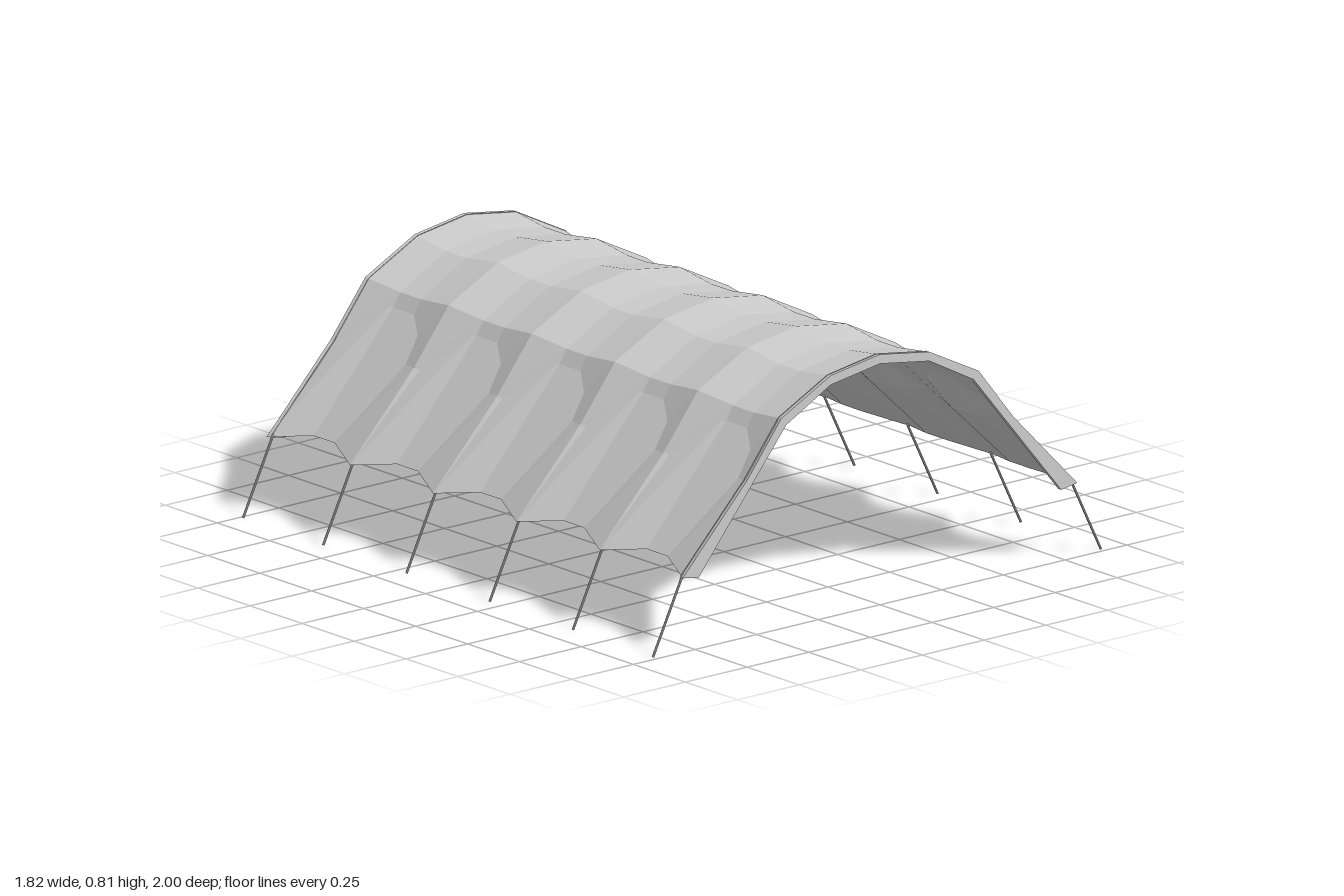
import * as THREE from 'three';

const mat = new THREE.MeshStandardMaterial({ color: 0xcccccc, flatShading: true, side: THREE.DoubleSide });

// Half profiles [x, y] from the apex down to the hem
const RIDGE = [[0, 0.81], [0.2, 0.78], [0.4, 0.68], [0.54, 0.505], [0.8, 0.24]];
const VALLEY = [[0, 0.79], [0.2, 0.76], [0.385, 0.662], [0.5, 0.485], [0.735, 0.265]];
const LINER = [[0, 0.78], [0.2, 0.75], [0.38, 0.655]];
const RIM = [...LINER, [0.505, 0.505], [0.735, 0.23]];

// Mirror a half profile into a full arch running from +x to -x
const arch = (half) => [...half.slice(1).reverse(), ...half.map(([x, y]) => [-x, y])];

// Skin a list of equal-length point rows
function loft(name, rows) {
  const n = rows[0].length;
  const index = [];
  for (let r = 0; r < rows.length - 1; r++) {
    for (let i = 0; i < n - 1; i++) {
      const a = r * n + i, b = a + n;
      index.push(a, b, a + 1, b, b + 1, a + 1);
    }
  }
  const g = new THREE.BufferGeometry();
  g.setAttribute('position', new THREE.Float32BufferAttribute(rows.flat(2), 3));
  g.setIndex(index);
  g.computeVertexNormals();
  const mesh = new THREE.Mesh(g, mat);
  mesh.name = name;
  return mesh;
}

const row = (half, z) => arch(half).map(([x, y]) => [x, y, z]);

// Thin round pole between two points
function pole(name, from, to, radius) {
  const a = new THREE.Vector3(...from), b = new THREE.Vector3(...to);
  const mesh = new THREE.Mesh(new THREE.CylinderGeometry(radius, radius, a.distanceTo(b), 8), mat);
  mesh.position.copy(a).add(b).multiplyScalar(0.5);
  mesh.quaternion.setFromUnitVectors(new THREE.Vector3(0, 1, 0), b.sub(a).normalize());
  mesh.name = name;
  return mesh;
}

export function createModel() {
  const model = new THREE.Group();
  model.name = 'tunnelCanopy';

  // Stations along the length: ridges over the poles, sagging valleys between
  const stations = [];
  for (let bay = 0; bay < 5; bay++) {
    const z = -1 + bay * 0.4;
    stations.push([RIDGE, z], [VALLEY, z + 0.15], [VALLEY, z + 0.25]);
  }
  stations.push([RIDGE, 1]);

  // Rippled outer cloth, and a smooth inner lining joined to its hem
  model.add(loft('canopyCloth', stations.map(([p, z]) => row(p, z))));
  model.add(loft('innerLining', stations.map(([p, z]) => row([...LINER, p[4]], z))));

  // Thin rim closing the cloth at each end
  for (const s of [1, -1]) {
    const rows = [row(RIDGE, s), row(RIM, s), row(RIM, s * 0.985), row(RIDGE, s * 0.985)];
    model.add(loft(s > 0 ? 'frontRim' : 'backRim', s > 0 ? rows : rows.reverse()));
  }

  // Splayed legs under every ridge
  for (const z of [-0.985, -0.6, -0.2, 0.2, 0.6, 0.985]) {
    for (const s of [1, -1]) {
      model.add(pole(s > 0 ? 'leftLeg' : 'rightLeg', [s * 0.785, 0.25, z], [s * 0.908, 0.002, z], 0.004));
    }
  }
  return model;
}
